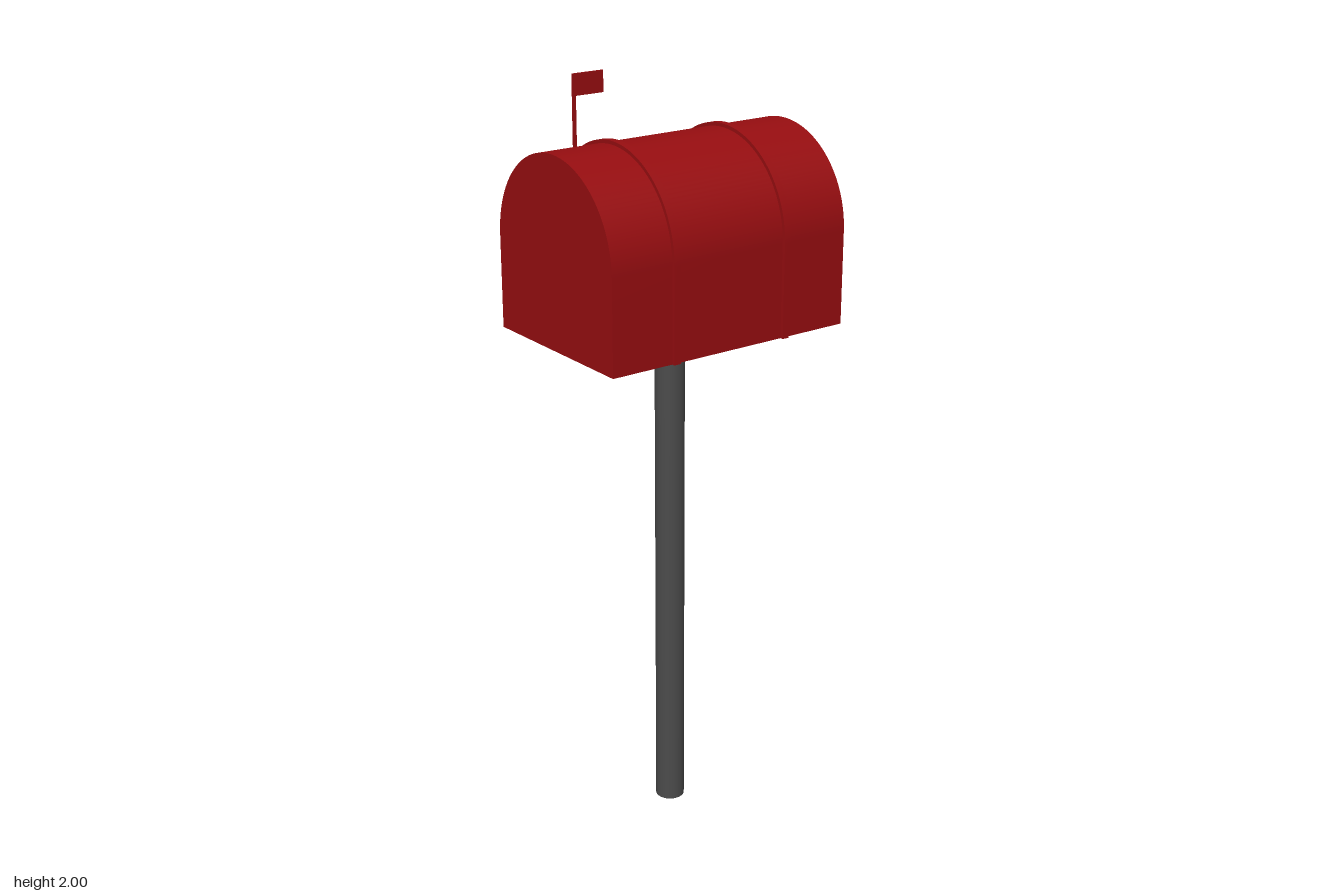
import * as THREE from 'three';
import { toCreasedNormals } from 'three/addons/utils/BufferGeometryUtils.js';

const BASE = 1.385, SPRING = 1.629, RADIUS = 0.244;

// Half-round arch outline, straight sides below the spring line
function archShape(radius) {
  const s = new THREE.Shape();
  s.moveTo(-radius, BASE);
  s.lineTo(radius, BASE);
  s.lineTo(radius, SPRING);
  s.absarc(0, SPRING, radius, 0, Math.PI, false);
  s.closePath();
  return s;
}

// Open strap that follows the arch
function strapShape(inner, outer) {
  const s = new THREE.Shape();
  s.moveTo(inner, BASE);
  s.lineTo(outer, BASE);
  s.lineTo(outer, SPRING);
  s.absarc(0, SPRING, outer, 0, Math.PI, false);
  s.lineTo(-outer, BASE);
  s.lineTo(-inner, BASE);
  s.lineTo(-inner, SPRING);
  s.absarc(0, SPRING, inner, Math.PI, 0, true);
  s.closePath();
  return s;
}

// Extrude along x, centred on the given x
function extrudeX(shape, width, x) {
  const g = new THREE.ExtrudeGeometry(shape, { depth: width, bevelEnabled: false, curveSegments: 32 });
  g.translate(0, 0, -width / 2);
  g.rotateY(Math.PI / 2);
  g.translate(x, 0, 0);
  return toCreasedNormals(g, 0.5);
}

export function createModel() {
  const red = new THREE.MeshStandardMaterial({ name: 'red paint', color: 0x960d10 });
  const grey = new THREE.MeshStandardMaterial({ name: 'dark grey metal', color: 0x4b4b4b });
  const model = new THREE.Group();
  model.name = 'mailbox';

  const add = (name, geometry, material, x = 0, y = 0, z = 0) => {
    const mesh = new THREE.Mesh(geometry, material);
    mesh.name = name;
    mesh.position.set(x, y, z);
    model.add(mesh);
    return mesh;
  };

  // Post
  add('post', new THREE.CylinderGeometry(0.039, 0.039, BASE, 32), grey, -0.005, BASE / 2, -0.005);

  // Box with two raised straps
  add('box', extrudeX(archShape(RADIUS), 0.706, 0), red);
  for (const [name, x] of [['rightStrap', -0.171], ['leftStrap', 0.164]]) {
    add(name, extrudeX(strapShape(RADIUS - 0.004, RADIUS + 0.009), 0.019, x), red);
  }

  // Signal flag on the back, turning on a round pivot
  const flagZ = -0.2445;
  add('flagStem', new THREE.BoxGeometry(0.01, 0.39, 0.004), red, -0.125, 1.805, flagZ);
  add('flagPlate', new THREE.BoxGeometry(0.093, 0.056, 0.004), red, -0.0835, 1.972, flagZ);
  const pivot = add('flagPivot', new THREE.CylinderGeometry(0.0175, 0.0175, 0.008, 24), grey, -0.125, 1.605, -0.244);
  pivot.rotation.x = Math.PI / 2;

  return model;
}
